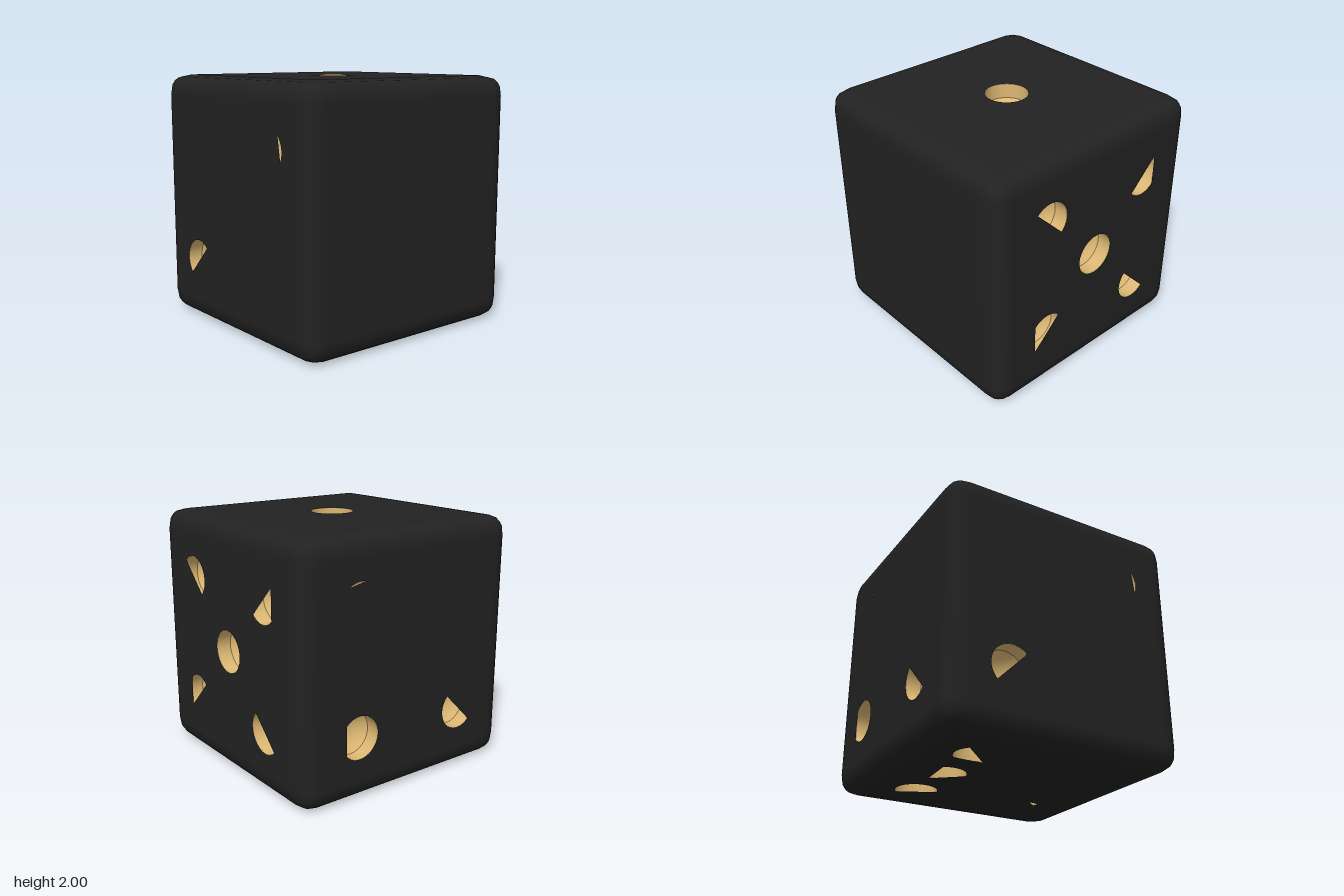
import * as THREE from 'three';

const CORE = 0.835;          // half size of the flat part of each face
const BEVEL = 1 - CORE;
const PIP = 0.17;            // pip radius
const rad = THREE.MathUtils.degToRad;

const black = new THREE.MeshStandardMaterial({ color: 0x222222 });
black.name = 'black body';
const gold = new THREE.MeshStandardMaterial({ color: 0xdcb773, side: THREE.DoubleSide });
gold.name = 'gold pips';

// Rounded edges and corners: a gridded box pushed onto a softened-square profile, flat middles left out
function roundedEdges() {
  const geo = new THREE.BoxGeometry(2, 2, 2, 5, 5, 5);
  const pos = geo.attributes.position, nor = geo.attributes.normal, p = 2.5;
  const flat = [];
  for (let i = 0; i < pos.count; i++) {
    const v = [pos.getX(i), pos.getY(i), pos.getZ(i)];
    const d = v.map(c => Math.abs(c) > 0.9 ? 1 : Math.abs(c) > 0.5 ? 0.6 : 0);
    const len = Math.pow(d.reduce((s, c) => s + c ** p, 0), 1 / p);
    flat.push(d.filter(c => c === 0).length === 2);
    pos.setXYZ(i, ...v.map((c, k) => Math.sign(c) * (CORE + BEVEL * d[k] / len)));
    const n = new THREE.Vector3(...v.map((c, k) => Math.sign(c) * d[k] ** (p - 1))).normalize();
    nor.setXYZ(i, n.x, n.y, n.z);
  }
  const old = geo.index.array, kept = [];
  for (let i = 0; i < old.length; i += 3) {
    const t = [old[i], old[i + 1], old[i + 2]];
    if (!t.every(k => flat[k])) kept.push(...t);
  }
  geo.setIndex(kept);
  geo.clearGroups();
  return geo;
}

// Opening of a pip: an arc in degrees, closed by a chord or by way of a tip [angle, radius]
function opening({ at: [u, v], arc: [a, b], tip }) {
  const path = new THREE.Path();
  path.absarc(u, v, PIP, rad(a), rad(b), false);
  if (tip) path.lineTo(u + tip[1] * Math.cos(rad(tip[0])), v + tip[1] * Math.sin(rad(tip[0])));
  path.closePath();
  return path;
}

// Recess behind an opening: straight wall and a shallow bowl
function recess(u, v) {
  const cup = new THREE.Group();
  cup.name = 'pip';
  const wallDepth = 0.12, bowlDepth = 0.08;
  const wall = new THREE.Mesh(
    new THREE.CylinderGeometry(PIP, PIP, wallDepth, 40, 1, true).translate(0, -wallDepth / 2, 0), gold);
  wall.name = 'pipWall';
  const R = (PIP * PIP + bowlDepth * bowlDepth) / (2 * bowlDepth), half = Math.asin(PIP / R);
  const profile = [];
  for (let i = 0; i <= 6; i++) {
    const t = half * i / 6;
    profile.push(new THREE.Vector2(R * Math.sin(t), R - R * Math.cos(t) - wallDepth - bowlDepth));
  }
  const bowl = new THREE.Mesh(new THREE.LatheGeometry(profile, 40), gold);
  bowl.name = 'pipBowl';
  cup.add(wall, bowl);
  cup.rotation.x = Math.PI / 2;
  cup.position.set(u, v, 0);
  return cup;
}

// Flat face with its openings, facing +z before it is turned
function face(name, rx, ry, pips) {
  const g = new THREE.Group();
  g.name = name;
  const shape = new THREE.Shape();
  shape.moveTo(-CORE, -CORE).lineTo(CORE, -CORE).lineTo(CORE, CORE).lineTo(-CORE, CORE).closePath();
  for (const pip of pips) {
    shape.holes.push(opening(pip));
    g.add(recess(...pip.at));
  }
  const plate = new THREE.Mesh(new THREE.ShapeGeometry(shape, 40), black);
  plate.name = name + 'Plate';
  g.add(plate);
  for (const child of g.children) child.position.z += 1;
  g.rotation.set(rx, ry, 0);
  return g;
}

export function createModel() {
  const model = new THREE.Group();
  model.name = 'die';
  const body = new THREE.Group();
  body.name = 'body';
  body.position.y = 1;
  const edges = new THREE.Mesh(roundedEdges(), black);
  edges.name = 'roundedEdges';
  body.add(edges);

  const q = Math.PI / 2, h = 0.5;
  body.add(
    face('topFace', -q, 0, [{ at: [0, 0], arc: [0, 360] }]),
    face('frontFace', 0, 0, [
      { at: [-h, -h], arc: [45, 225] },
      { at: [h, h], arc: [-25, 43] },
    ]),
    face('leftFace', 0, q, []),
    face('rightFace', 0, -q, [
      { at: [-h, h], arc: [76, 127] },
      { at: [-h, -h], arc: [-135, 135] },
      { at: [h, -h], arc: [135, 315] },
    ]),
    face('backFace', 0, Math.PI, [
      { at: [0, 0], arc: [0, 360] },
      { at: [-h, h], arc: [-45, 135] },
      { at: [h, -h], arc: [135, 315] },
      { at: [h, h], arc: [225, 315], tip: [45, PIP] },
      { at: [-h, -h], arc: [45, 135], tip: [225, PIP] },
    ]),
    face('bottomFace', q, 0, [
      { at: [-h, -h], arc: [15, 222] },
      { at: [-h, 0], arc: [10, 120], tip: [250, PIP] },
      { at: [-h, h], arc: [135, 225], tip: [315, PIP] },
      { at: [h, -h], arc: [68, 98], tip: [62, 0.12] },
    ]),
  );
  model.add(body);
  return model;
}
